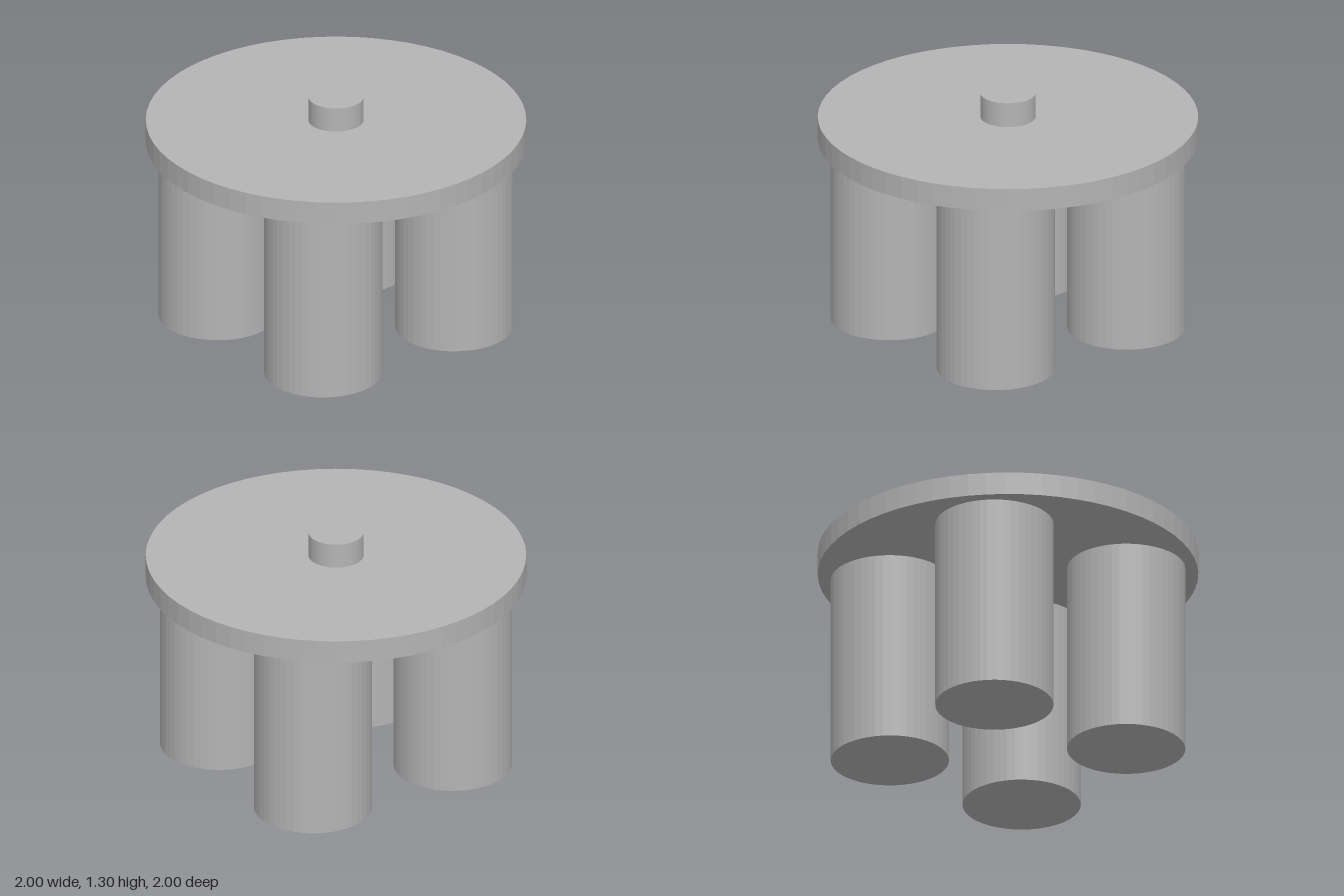
import * as THREE from 'three';

export function createModel() {
  const group = new THREE.Group();
  const grey = new THREE.MeshStandardMaterial({ color: 0xb4b4b4 });
  grey.name = 'plain grey';
  grey.flatShading = true;

  // Upright solid cylinder standing on the height "bottom"
  function addCylinder(name, radius, bottom, top, x, z, sides) {
    const geometry = new THREE.CylinderGeometry(radius, radius, top - bottom, sides);
    const mesh = new THREE.Mesh(geometry, grey);
    mesh.name = name;
    mesh.position.set(x, (bottom + top) / 2, z);
    group.add(mesh);
  }

  // Round top plate with a small central knob
  addCylinder('topPlate', 1, 1.045, 1.17, 0, 0, 64);
  addCylinder('centreKnob', 0.145, 1.17, 1.305, 0, 0, 48);

  // Four thick legs in a square
  const legOffset = 0.442;
  for (const [side, sx] of [['Left', 1], ['Right', -1]]) {
    for (const [end, sz] of [['front', 1], ['back', -1]]) {
      addCylinder(end + side + 'Leg', 0.311, 0, 1.045, sx * legOffset, sz * legOffset, 48);
    }
  }

  return group;
}
